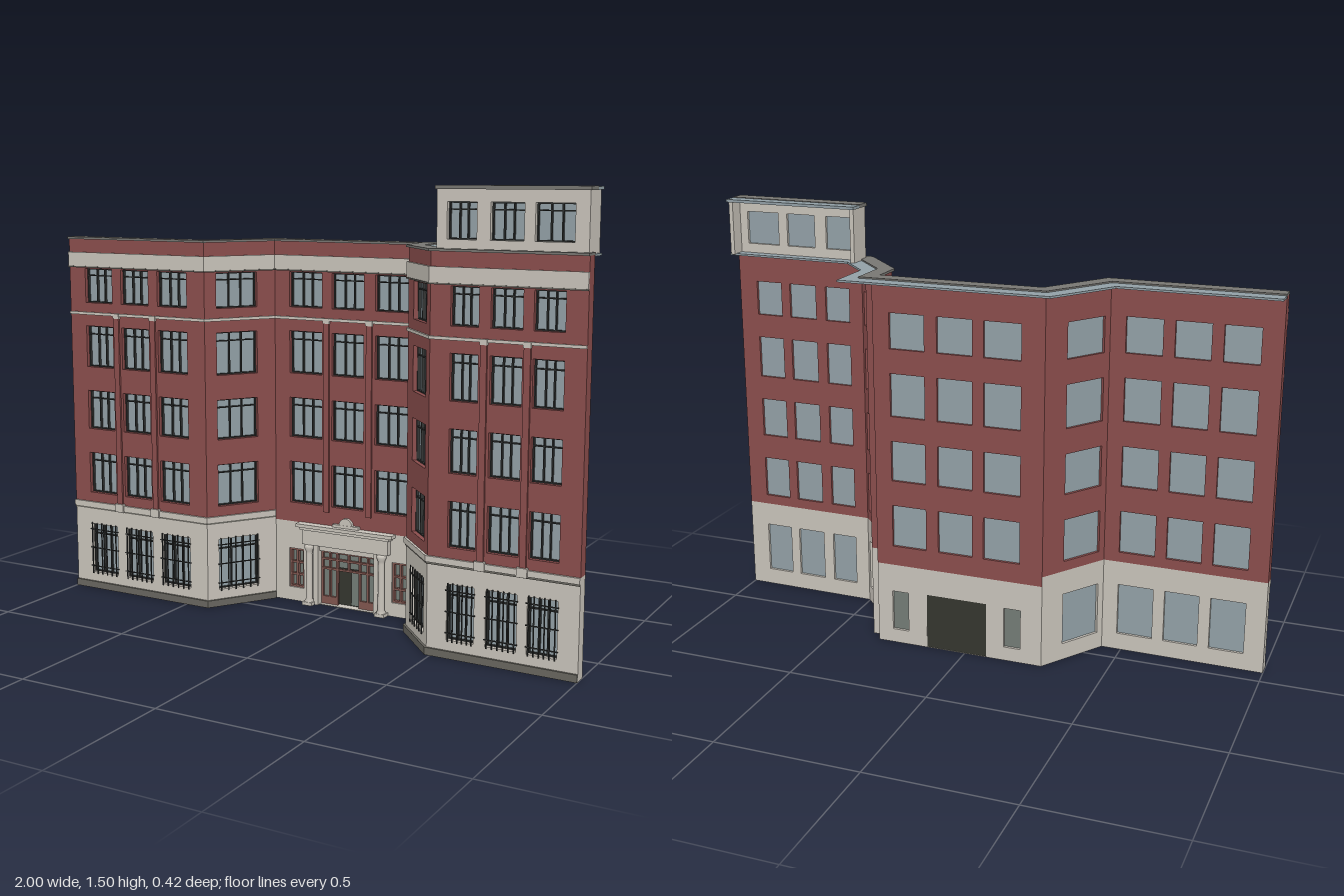
import * as THREE from 'three';

const mat = (name, color) => Object.assign(new THREE.MeshStandardMaterial({ color }), { name });
const brick = mat('brick', 0x8a4d4c), stone = mat('stone', 0xc8c3ba), glass = mat('glass', 0x92a0a6);
const coping = mat('coping', 0x777672), plinthGrey = mat('plinthGrey', 0x68665f);
const iron = mat('iron', 0x303231), doorBrown = mat('doorBrown', 0x80564f);
const doorGlass = mat('doorGlass', 0x737c76), interior = mat('interior', 0x34352e);

const T = 0.04; // wall thickness
// Front line of the facade in plan (x, z), from the model's right to its left
const P = [[-1, 0.105], [-0.41, 0.11], [-0.26, -0.115], [0.325, -0.115], [0.325, 0.01], [0.485, 0.185], [1, 0.195]]
  .map(p => new THREE.Vector2(...p));
const tangent = P.slice(1).map((p, i) => p.clone().sub(P[i]).normalize());
const length = P.slice(1).map((p, i) => p.distanceTo(P[i]));
const normal = tangent.map(t => new THREE.Vector2(-t.y, t.x));
const mitre = P.map((_, i) => {
  const a = normal[Math.max(i - 1, 0)], b = normal[Math.min(i, normal.length - 1)];
  return a.clone().add(b).divideScalar(1 + a.dot(b));
});

function add(parent, name, geometry, material) {
  const mesh = new THREE.Mesh(geometry, material);
  mesh.name = name;
  parent.add(mesh);
  return mesh;
}

// Box given by its limits
function box(parent, name, m, x0, x1, y0, y1, z0, z1) {
  const mesh = add(parent, name, new THREE.BoxGeometry(x1 - x0, y1 - y0, z1 - z0), m);
  mesh.position.set((x0 + x1) / 2, (y0 + y1) / 2, (z0 + z1) / 2);
  return mesh;
}

// Mitred course following corners i..j, from forward offset f to rear offset r
function course(parent, name, m, i, j, f, r, y0, y1) {
  const at = (k, d) => P[k].clone().addScaledVector(mitre[k], d);
  const front = [], back = [];
  for (let k = i; k <= j; k++) { front.push(at(k, f)); back.unshift(at(k, r)); }
  const shape = new THREE.Shape([...front, ...back].map(p => new THREE.Vector2(p.x, -p.y)));
  const g = new THREE.ExtrudeGeometry(shape, { depth: y1 - y0, bevelEnabled: false });
  g.rotateX(-Math.PI / 2).translate(0, y0, 0);
  return add(parent, name, g, m);
}

// Upright wall panel with rectangular openings [x0, x1, y0, y1]
function panel(x0, x1, y0, y1, holes, depth) {
  const rect = (C, a, b, c, d) => new C([[a, c], [b, c], [b, d], [a, d]].map(p => new THREE.Vector2(...p)));
  const shape = rect(THREE.Shape, x0, x1, y0, y1);
  shape.holes = holes.map(h => rect(THREE.Path, ...h));
  return new THREE.ExtrudeGeometry(shape, { depth, bevelEnabled: false }).translate(0, 0, -depth);
}

// Wall of segment i, its rear ends moved onto the corner mitres
function wall(parent, name, m, i, y0, y1, holes) {
  const L = length[i], g = panel(0, L, y0, y1, holes, T), p = g.attributes.position;
  const shift = k => (k === 3 ? 0 : -T * mitre[k].dot(tangent[i]));
  for (let v = 0; v < p.count; v++) {
    if (p.getZ(v) > -T / 2) continue;
    if (p.getX(v) < 1e-5) p.setX(v, shift(i));
    else if (p.getX(v) > L - 1e-5) p.setX(v, L + shift(i + 1));
  }
  g.computeVertexNormals();
  add(parent, name, g, m);
}

// Glass pane with frame, two mullions and a transom
function windowUnit(parent, [x0, x1, y0, y1]) {
  const w = new THREE.Group(), b = 0.004, W = x1 - x0, yt = y0 + (y1 - y0) * 0.78;
  w.name = 'window';
  parent.add(w);
  box(w, 'pane', glass, x0, x1, y0, y1, -0.03, -0.024);
  for (const x of [x0, x0 + W * 0.34, x0 + W * 0.66 - b, x1 - b]) box(w, 'mullion', iron, x, x + b, y0, y1, -0.024, -0.014);
  for (const y of [y0, yt, y1 - b]) box(w, 'transom', iron, x0, x1, y, y + b, -0.024, -0.015);
}

// Iron security grille in front of a ground floor window
function grille(parent, [x0, x1, y0, y1]) {
  const g = new THREE.Group(), n = 6, b = 0.0035;
  g.name = 'grille';
  parent.add(g);
  for (let k = 0; k < n; k++) {
    const x = x0 + 0.006 + (x1 - x0 - 0.012) * k / (n - 1);
    box(g, 'bar', iron, x - b / 2, x + b / 2, y0 - 0.005, y1 + 0.005, 0.002, 0.006);
  }
  for (const f of [0.12, 0.5, 0.88]) {
    const y = y0 + (y1 - y0) * f;
    box(g, 'rail', iron, x0 - 0.004, x1 + 0.004, y, y + b, 0.0, 0.004);
  }
}

// Entrance, in the centre wall's frame with x as in the whole model
function entrance(parent) {
  const e = new THREE.Group();
  e.name = 'entrance';
  e.position.x = 0.26;
  parent.add(e);
  box(e, 'vestibule', interior, -0.08, 0.14, 0.002, 0.2, -0.039, -0.033);
  box(e, 'doorGlazing', doorGlass, -0.08, -0.02, 0.002, 0.2, -0.033, -0.026);
  box(e, 'doorGlazing', doorGlass, 0.075, 0.14, 0.002, 0.2, -0.033, -0.026);
  box(e, 'transomGlazing', doorGlass, -0.02, 0.075, 0.14, 0.2, -0.033, -0.026);
  for (const x of [-0.08, -0.05, -0.02, 0.025, 0.07, 0.103, 0.133]) {
    box(e, 'doorPost', doorBrown, x, x + 0.007, x === 0.025 ? 0.13 : 0.002, 0.2, -0.026, -0.016);
  }
  for (const y of [0.13, 0.165, 0.192]) box(e, 'doorRail', doorBrown, -0.08, 0.14, y, y + 0.007, -0.026, -0.015);
  for (const [a, b] of [[-0.08, -0.02], [0.075, 0.14]]) box(e, 'kickPanel', doorBrown, a, b, 0.002, 0.03, -0.026, -0.017);
  box(e, 'openLeaf', doorGlass, 0.035, 0.07, 0.005, 0.13, -0.033, -0.028);
  // small side windows
  for (const x of [-0.205, 0.21]) {
    box(e, 'sidePane', doorGlass, x, x + 0.06, 0.05, 0.195, -0.03, -0.02);
    for (const dx of [0, 0.027, 0.053]) box(e, 'sideFrame', doorBrown, x + dx, x + dx + 0.007, 0.05, 0.195, -0.02, -0.006);
    for (const y of [0.05, 0.095, 0.14, 0.188]) box(e, 'sideFrame', doorBrown, x, x + 0.06, y, y + 0.007, -0.02, -0.006);
  }
  // columns and pilasters
  const profile = [[0, 0], [0.017, 0], [0.017, 0.015], [0.0125, 0.022], [0.011, 0.19], [0.0125, 0.2], [0.017, 0.21], [0.017, 0.222], [0, 0.222]];
  for (const s of [-1, 1]) {
    const cx = 0.032 + s * 0.145;
    const column = add(e, 'column', new THREE.LatheGeometry(profile.map(p => new THREE.Vector2(...p)), 16), stone);
    column.position.set(cx, 0, 0.016);
    const px = cx + s * -0.024;
    box(e, 'pilaster', stone, px - 0.009, px + 0.009, 0, 0.222, 0, 0.012);
    box(e, 'columnBase', stone, cx - 0.019, cx + 0.019, 0, 0.012, 0, 0.034);
  }
  // entablature, cornice and crest
  box(e, 'architrave', stone, -0.14, 0.204, 0.222, 0.275, 0, 0.022);
  box(e, 'dentilCourse', stone, -0.147, 0.211, 0.275, 0.285, 0, 0.028);
  box(e, 'cornice', stone, -0.16, 0.224, 0.285, 0.297, 0, 0.034);
  box(e, 'crestBase', stone, -0.02, 0.084, 0.297, 0.307, 0, 0.014);
  const crest = add(e, 'crest', new THREE.CylinderGeometry(0.026, 0.026, 0.012, 20, 1, false, Math.PI / 2, Math.PI), stone);
  crest.rotation.x = Math.PI / 2;
  crest.position.set(0.032, 0.306, 0.007);
}

// Rooftop room, open behind its front wall, in the left wing's frame
function penthouse(parent) {
  const g = new THREE.Group();
  g.name = 'penthouse';
  g.position.x = -0.485;
  parent.add(g);
  const holes = [[0.53, 0.63], [0.675, 0.785], [0.82, 0.945]].map(([a, b]) => [a, b, 1.335, 1.45]);
  const front = add(g, 'penthouseWall', panel(0.495, 0.99, 1.3, 1.49, holes, 0.04), stone);
  front.position.z = -0.018;
  const units = new THREE.Group();
  units.name = 'penthouseWindows';
  units.position.z = -0.018;
  g.add(units);
  holes.forEach(h => windowUnit(units, h));
  for (const x of [0.495, 0.975]) box(g, 'penthouseEnd', stone, x, x + 0.015, 1.3, 1.49, -0.108, -0.058);
  box(g, 'roofFront', coping, 0.49, 0.995, 1.488, 1.5, -0.07, -0.012);
  box(g, 'roofBack', glass, 0.49, 0.995, 1.488, 1.498, -0.118, -0.07);
}

export function createModel() {
  const model = new THREE.Group();
  model.name = 'facadeBuilding';
  const floors = [[0.365, 0.515], [0.605, 0.747], [0.835, 0.985], [1.07, 1.193]];
  const names = ['rightWing', 'rightSlant', 'centre', 'returnWall', 'leftSlant', 'leftWing'];
  // Window spans and pilaster positions along each segment
  const spans = [
    [[0.07, 0.19], [0.23, 0.35], [0.39, 0.515]], [[0.045, 0.2]],
    [[0.06, 0.19], [0.23, 0.355], [0.4, 0.525]], [[0.02, 0.1]], [[0.06, 0.2]],
    [[0.07, 0.165], [0.205, 0.31], [0.345, 0.445]]];
  const pilasters = [[0.21, 0.37], [], [0.21, 0.378], [], [], [0.185, 0.328]];

  names.forEach((name, i) => {
    const g = new THREE.Group();
    g.name = name;
    g.position.set(P[i].x, 0, P[i].y);
    g.rotation.y = Math.atan2(-tangent[i].y, tangent[i].x);
    model.add(g);
    const centre = i === 2, split = centre ? 0.295 : 0.33;
    const upper = floors.flatMap(f => spans[i].map(s => [...s, ...f]));
    const lower = centre
      ? [[0.055, 0.115, 0.05, 0.195], [0.18, 0.4, 0.002, 0.2], [0.47, 0.53, 0.05, 0.195]]
      : spans[i].map(s => [...s, 0.06, 0.245]);
    wall(g, 'brickWall', brick, i, split, 1.3, upper);
    wall(g, 'stoneBase', stone, i, 0, split, lower);
    upper.forEach(h => windowUnit(g, h));
    if (centre) entrance(g);
    else lower.forEach(h => { windowUnit(g, h); grille(g, h); });
    for (const x of pilasters[i]) {
      box(g, 'pilaster', brick, x - 0.011, x + 0.011, centre ? 0.345 : 0.33, 1.025, 0, 0.007);
      box(g, 'pilasterCap', stone, x - 0.013, x + 0.013, 1.018, 1.036, 0, 0.009);
      if (!centre) box(g, 'pilasterBase', stone, x - 0.018, x + 0.018, 0.306, 0.336, 0, 0.013);
    }
    if (i === 5) penthouse(g);
  });

  // Plinth and belt moulding on both sides of the entrance wall
  for (const [a, b] of [[0, 2], [3, 6]]) {
    course(model, 'plinth', plinthGrey, a, b, 0.008, 0, 0, 0.025);
    course(model, 'beltMoulding', stone, a, b, 0.008, 0, 0.31, 0.33);
    course(model, 'beltShadowLine', plinthGrey, a, b, 0.004, 0, 0.303, 0.31);
  }
  // Full-length courses, coping and rear gutter ledge
  course(model, 'stringCourse', stone, 0, 6, 0.006, 0, 1.026, 1.036);
  course(model, 'friezeLine', plinthGrey, 0, 6, 0.009, 0, 1.197, 1.202);
  course(model, 'frieze', stone, 0, 6, 0.007, 0, 1.202, 1.252);
  course(model, 'coping', coping, 0, 6, 0.009, -0.045, 1.299, 1.307);
  course(model, 'roofLedge', glass, 0, 6, -0.045, -0.098, 1.295, 1.302);
  return model;
}
